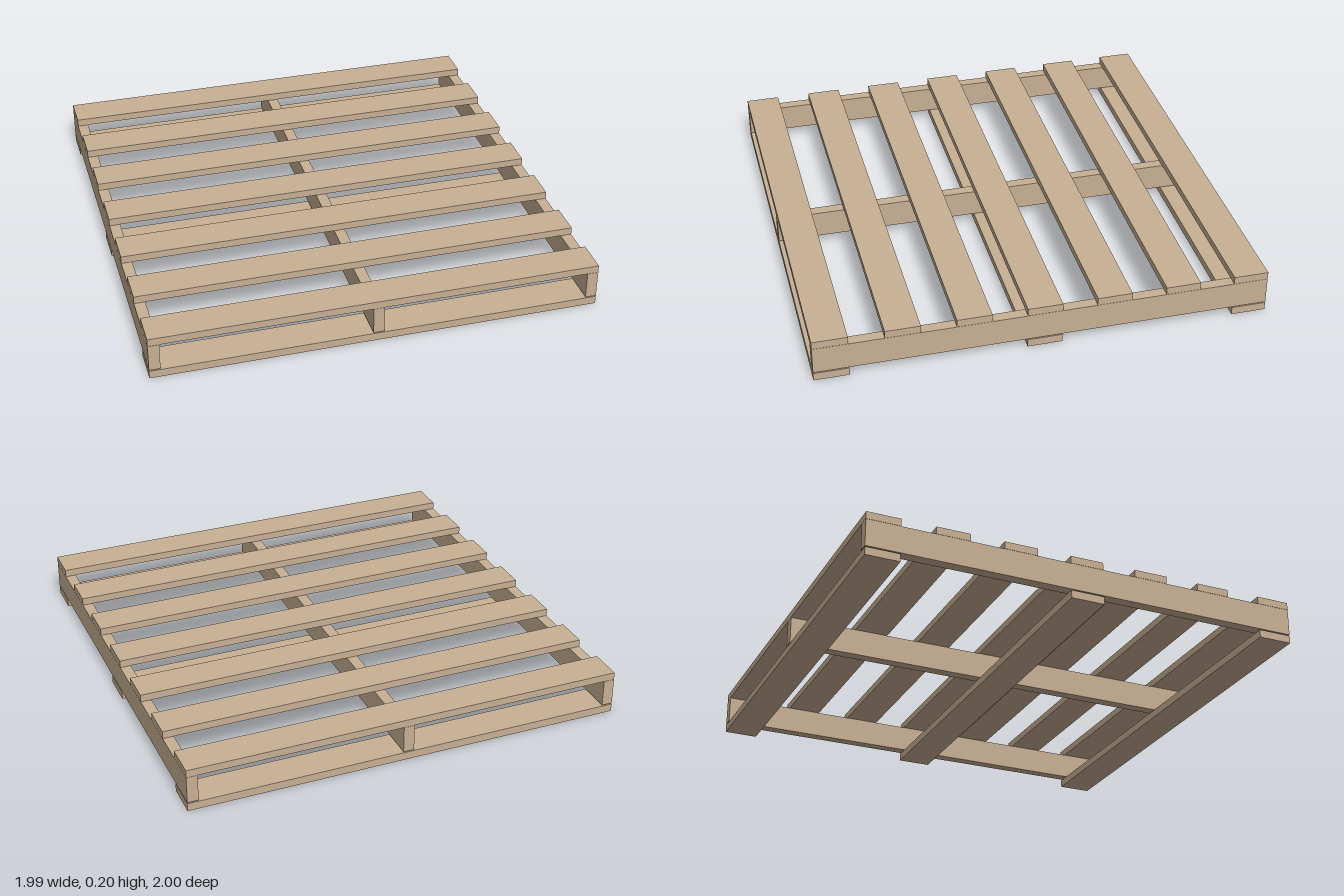
import * as THREE from 'three';

export function createModel() {
  const pallet = new THREE.Group();
  pallet.name = 'pallet';
  const wood = new THREE.MeshStandardMaterial({ color: 0xc8b094 });

  const halfX = 0.994;
  const slatWidth = 2 / 13; // seven slats and six equal gaps over the depth

  // Box board resting on height y0 and reaching y1
  function board(name, width, y0, y1, depth, x, z) {
    const mesh = new THREE.Mesh(new THREE.BoxGeometry(width, y1 - y0, depth), wood);
    mesh.name = name;
    mesh.position.set(x, (y0 + y1) / 2, z);
    pallet.add(mesh);
  }

  // Deck slats on top
  for (let i = -3; i <= 3; i++) {
    board('topSlat', 2 * halfX, 0.165, 0.199, slatWidth, 0, i * 2 * slatWidth);
  }

  // Upright stringers and the bottom slats they stand on
  const stringerWidth = 0.049;
  for (const side of [-1, 0, 1]) {
    board('stringer', stringerWidth, 0.041, 0.164, 2, side * (halfX - stringerWidth / 2), 0);
    board('bottomSlat', 2 * halfX, 0, 0.036, slatWidth, 0, side * (1 - slatWidth / 2));
  }

  return pallet;
}
